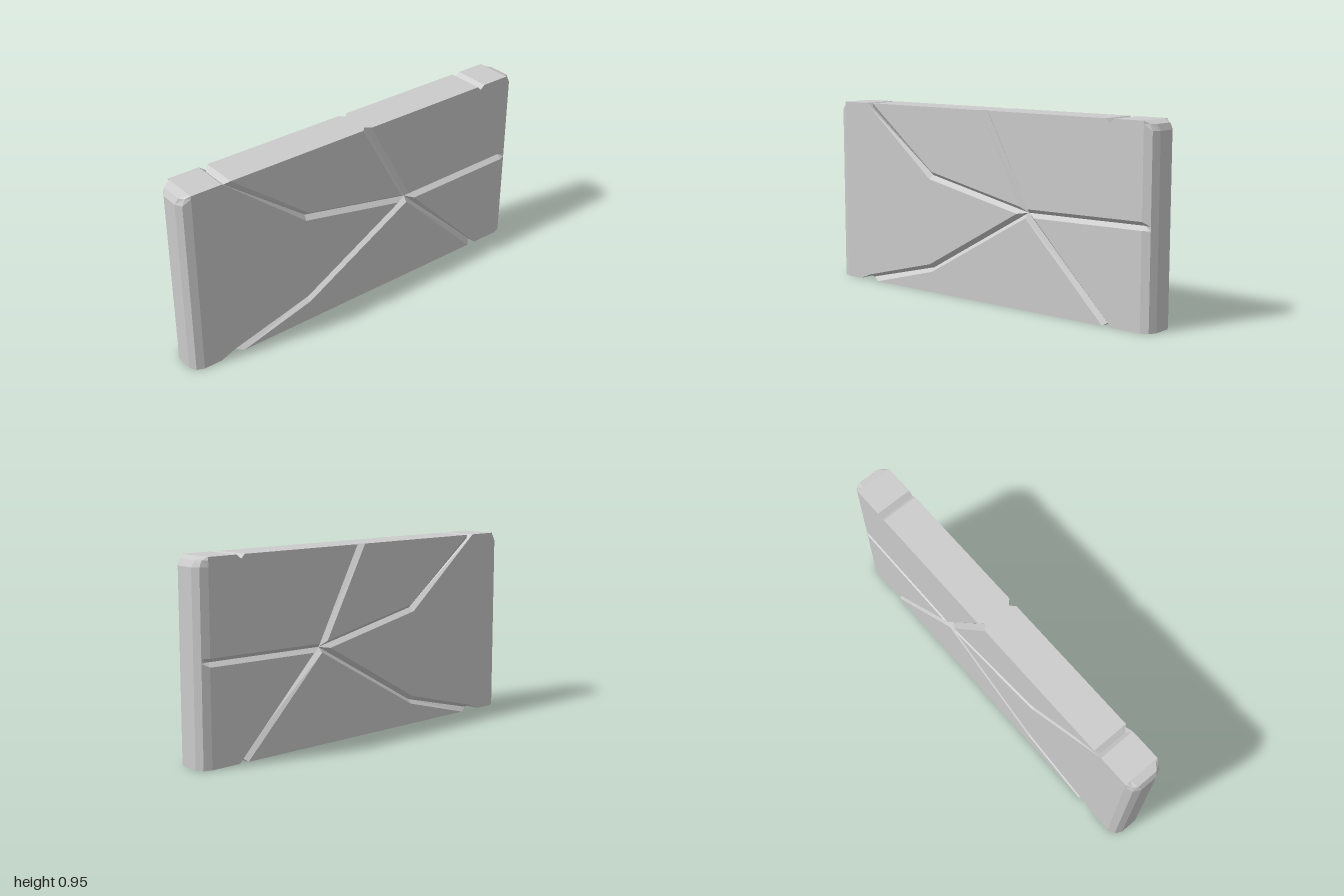
import * as THREE from 'three';

const W = 0.095;      // half thickness of the slab
const FLOOR = 0.07;   // half thickness at the bottom of the cracks
const HALF = 0.02;    // half width of a crack
const END = 0.945;    // where the rounded ends begin

// Points are [z, y]; the order runs counter-clockwise seen from +x.
const CENTRE = [-0.29, 0.474];
// Crack lines, each from the rim inwards (the centre is added)
const CRACKS = [
  [[-0.03, 0.95]],
  [[0.765, 0.93], [0.33, 0.603]],
  [[0.77, 0.015], [0.33, 0.125]],
  [[-0.765, 0.02]],
  [[-END, 0.484]],
];
// Rim of the stone lying between crack k and crack k + 1
const RIMS = [
  [[-0.005, 0.95], [0.74, 0.95]],
  [[0.785, 0.95], [END, 0.95], [END, 0], [0.85, 0], [0.775, 0.03]],
  [[0.72, 0], [-0.74, 0]],
  [[-0.79, 0], [-END, 0], [-END, 0.464]],
  [[-END, 0.504], [-END, 0.95], [-0.79, 0.95], [-0.765, 0.93], [-0.745, 0.95], [-0.055, 0.95]],
];

const material = new THREE.MeshStandardMaterial({ color: 0xcccccc, flatShading: true });

// Collects triangles and quads into one flat-shaded mesh
class Faces {
  constructor() { this.data = []; }
  tri(a, b, c, flip = false) { this.data.push(...a, ...(flip ? c : b), ...(flip ? b : c)); }
  quad(a, b, c, d, flip = false) { this.tri(a, b, c, flip); this.tri(a, c, d, flip); }
  mesh(name) {
    const g = new THREE.BufferGeometry();
    g.setAttribute('position', new THREE.Float32BufferAttribute(this.data, 3));
    g.computeVertexNormals();
    const m = new THREE.Mesh(g, material);
    m.name = name;
    return m;
  }
}

const at = (x, [z, y]) => [x, y, z];

// Moves the inner points of a path to its left by HALF, with mitred corners
function offsetPath(path) {
  const p = path.map(([z, y]) => new THREE.Vector2(-z, y));
  const normal = (a, b) => {
    const d = b.clone().sub(a).normalize();
    return new THREE.Vector2(-d.y, d.x);
  };
  return p.slice(1, -1).map((q, i) => {
    const n = normal(p[i], q);
    const m = n.clone().add(normal(q, p[i + 2])).normalize();
    const r = q.clone().addScaledVector(m, HALF / m.dot(n));
    return [-r.x, r.y];
  });
}

// One flat stone face with the sloping crack walls around it
function stone(k, side) {
  const rim = RIMS[k];
  const path = [...CRACKS[(k + 1) % CRACKS.length], CENTRE, ...[...CRACKS[k]].reverse()];
  const inner = offsetPath(path);
  const outline = [...rim, ...inner];
  const edge = [rim[rim.length - 1], ...inner, rim[0]];
  const flip = side < 0;
  const face = new Faces(), walls = new Faces();
  const flat = outline.map(([z, y]) => new THREE.Vector2(-z, y));
  for (const [a, b, c] of THREE.ShapeUtils.triangulateShape(flat, [])) {
    face.tri(at(side * W, outline[a]), at(side * W, outline[b]), at(side * W, outline[c]), flip);
  }
  for (let i = 0; i < path.length - 1; i++) {
    walls.quad(at(side * FLOOR, path[i]), at(side * FLOOR, path[i + 1]),
      at(side * W, edge[i + 1]), at(side * W, edge[i]), flip);
  }
  const group = new THREE.Group();
  group.name = 'stone';
  group.add(face.mesh('stoneFace'), walls.mesh('crackWalls'));
  return group;
}

// Top and bottom bands, narrowing and notched where the cracks come out
function rimBand() {
  const loop = [];
  RIMS.forEach((rim, k) => {
    loop.push({ p: CRACKS[k][0], w: FLOOR });
    rim.forEach((p) => loop.push({ p, w: W }));
  });
  const f = new Faces();
  loop.forEach((a, i) => {
    const b = loop[(i + 1) % loop.length];
    if (Math.abs(a.p[0]) === END && a.p[0] === b.p[0]) return; // covered by the ends
    f.quad(at(a.w, a.p), at(-a.w, a.p), at(-b.w, b.p), at(b.w, b.p));
  });
  return f.mesh('topAndBottom');
}

// Rounded end: rows of [y, outer x, middle x, middle z, inner x, inner z]
function roundedEnd(s) {
  const row = (y, x0 = W) => [y, x0, 0.08, 0.982, 0.045, 1];
  const rows = [row(0), row(0.905),
    [0.935, W, 0.078, 0.968, 0.055, 0.985],
    [0.95, W, 0.085, END, 0.065, END]];
  if (s < 0) rows.splice(1, 0, row(0.464), row(0.484, FLOOR), row(0.504)); // crack runs out here
  const pts = rows.map(([y, x0, x1, z1, x2, z2]) => {
    const half = [[x0, END], [x1, z1], [x2, z2]];
    return [...half.map(([x, z]) => [-x, y, s * z]),
      ...half.reverse().map(([x, z]) => [x, y, s * z])];
  });
  const f = new Faces();
  for (let i = 0; i < pts.length - 1; i++) {
    for (let j = 0; j < 5; j++) {
      f.quad(pts[i][j], pts[i][j + 1], pts[i + 1][j + 1], pts[i + 1][j], s < 0);
    }
  }
  for (let j = 1; j < 5; j++) f.tri(pts[0][0], pts[0][j], pts[0][j + 1], s > 0); // underside
  return f.mesh(s > 0 ? 'frontEnd' : 'backEnd');
}

export function createModel() {
  const model = new THREE.Group();
  model.name = 'crackedSlab';
  for (const side of [1, -1]) {
    const face = new THREE.Group();
    face.name = side > 0 ? 'leftFace' : 'rightFace';
    RIMS.forEach((_, k) => face.add(stone(k, side)));
    model.add(face);
  }
  model.add(rimBand(), roundedEnd(1), roundedEnd(-1));
  return model;
}
